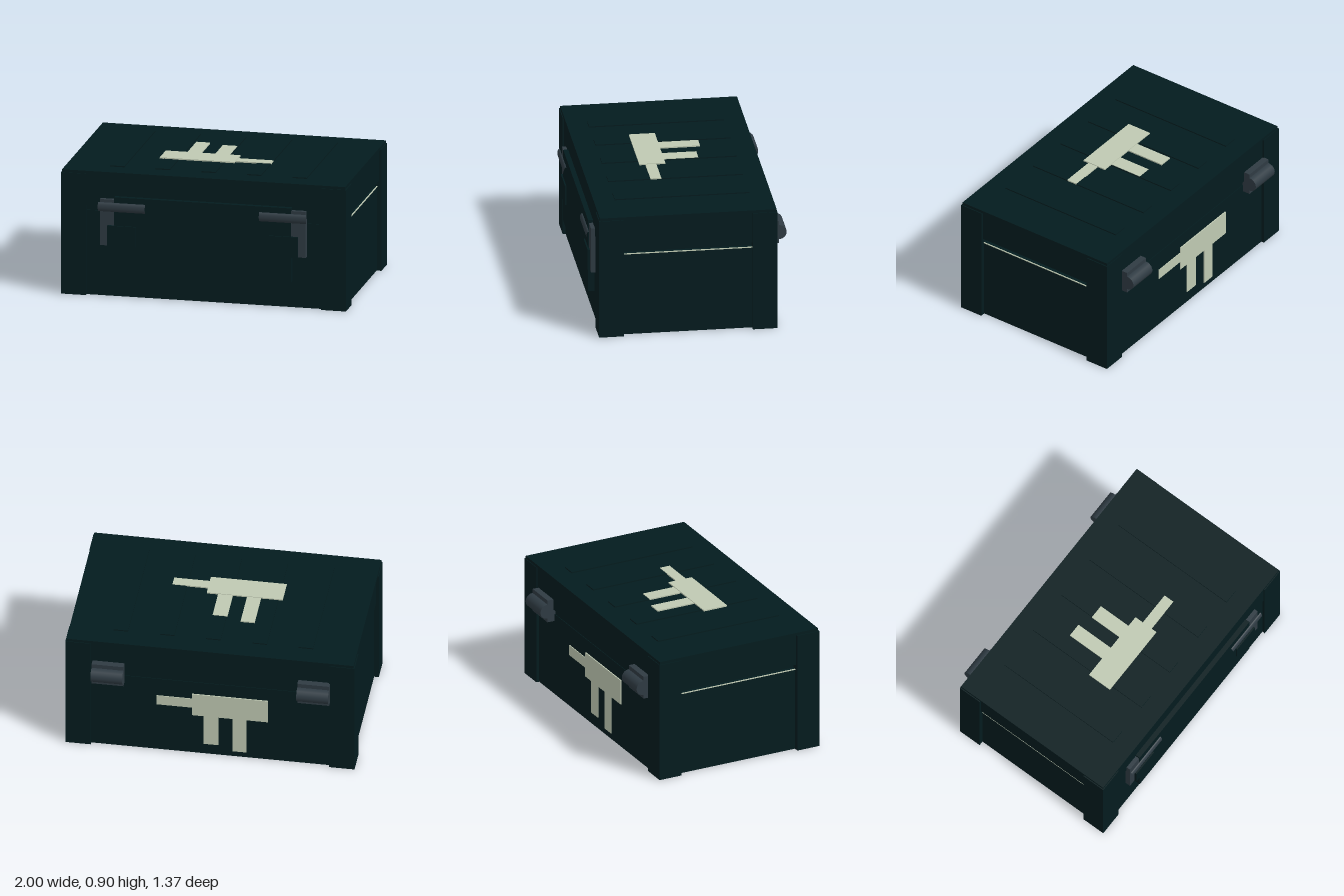
import * as THREE from 'three';

const mat = (name, color) => {
  const m = new THREE.MeshStandardMaterial({ color });
  m.name = name;
  return m;
};

export function createModel() {
  const green = mat('dark green paint', 0x031b1e);
  const metal = mat('grey metal', 0x2f3b43);
  const cream = mat('pale stencil', 0xbfc9b2);

  const group = new THREE.Group();
  group.name = 'storageCrate';

  const add = (name, geometry, material) => {
    const mesh = new THREE.Mesh(geometry, material);
    mesh.name = name;
    group.add(mesh);
    return mesh;
  };
  // Box given by its low and high limits on each axis
  const box = (name, material, x0, x1, y0, y1, z0, z1) => {
    const mesh = add(name, new THREE.BoxGeometry(x1 - x0, y1 - y0, z1 - z0), material);
    mesh.position.set((x0 + x1) / 2, (y0 + y1) / 2, (z0 + z1) / 2);
    return mesh;
  };
  // Same box on the left or right side
  const sideBox = (name, material, s, x0, x1, ...rest) =>
    box(name, material, Math.min(s * x0, s * x1), Math.max(s * x0, s * x1), ...rest);

  // Lower body, recessed lid rim, lid and top plate
  box('body', green, -0.968, 0.968, 0.002, 0.6, -0.58, 0.61);
  box('lidRim', green, -0.94, 0.94, 0.6, 0.637, -0.575, 0.605);
  box('lid', green, -0.982, 0.982, 0.637, 0.86, -0.59, 0.62);
  box('lidTop', green, -0.993, 0.993, 0.86, 0.88, -0.595, 0.624);

  for (const s of [-1, 1]) {
    // Corner posts
    sideBox('frontPost', green, s, 0.825, 1, 0, 0.86, 0.46, 0.63);
    sideBox('backPost', green, s, 0.825, 1, 0, 0.86, -0.6, -0.43);
    // Pale seam along each end
    sideBox('seamStrip', cream, s, 0.966, 0.973, 0.595, 0.601, -0.43, 0.46);
  }

  // Raised front panel
  box('frontPanel', green, -0.62, 0.62, 0.187, 0.713, 0.6, 0.654);

  // Latches: bracket, cover plate and an open curved handle
  const handleShell = new THREE.CylinderGeometry(1, 1, 0.33, 16, 1, true, -Math.PI / 2, Math.PI);
  handleShell.rotateZ(Math.PI / 2);
  handleShell.scale(1, 0.032, 0.017);
  for (const s of [-1, 1]) {
    sideBox('latchBracket', metal, s, 0.618, 0.722, 0.367, 0.693, 0.6, 0.648);
    sideBox('latchPlate', green, s, 0.468, 0.668, 0.367, 0.512, 0.645, 0.664);
    add('latchHandle', handleShell, metal).position.set(s * 0.565, 0.644, 0.663);
  }

  // Back hinges
  const barrel = new THREE.CylinderGeometry(0.052, 0.052, 0.22, 20);
  barrel.rotateZ(Math.PI / 2);
  for (const x of [-0.72, 0.703]) {
    box('hingeLeaf', metal, x - 0.11, x + 0.11, 0.55, 0.713, -0.635, -0.57);
    add('hingeBarrel', barrel, metal).position.set(x, 0.631, -0.637);
  }

  // Lid ribs
  for (let i = -2; i <= 2; i++) {
    box('lidRib', green, i * 0.32 - 0.05, i * 0.32 + 0.05, 0.875, 0.888, -0.45, 0.48);
  }

  // Stencil outline as rectangles: x0, x1, v0, v1, used on the lid and the back
  const stencil = [
    [-0.4, 0.125, 0.053, 0.232],
    [0.125, 0.372, 0.115, 0.19],
    [-0.25, -0.153, -0.225, 0.053],
    [-0.055, 0.047, -0.185, 0.053],
  ];
  stencil.forEach(([x0, x1, v0, v1], i) => {
    const h = i === 0 ? 0.896 : 0.892;
    box('lidStencil', cream, x0, x1, h - 0.009, h, v0, v1);
    const z = i === 0 ? -0.588 : -0.585;
    box('backStencil', cream, x0, x1, v0 + 0.27, v1 + 0.27, z, z + 0.009);
  });

  return group;
}
